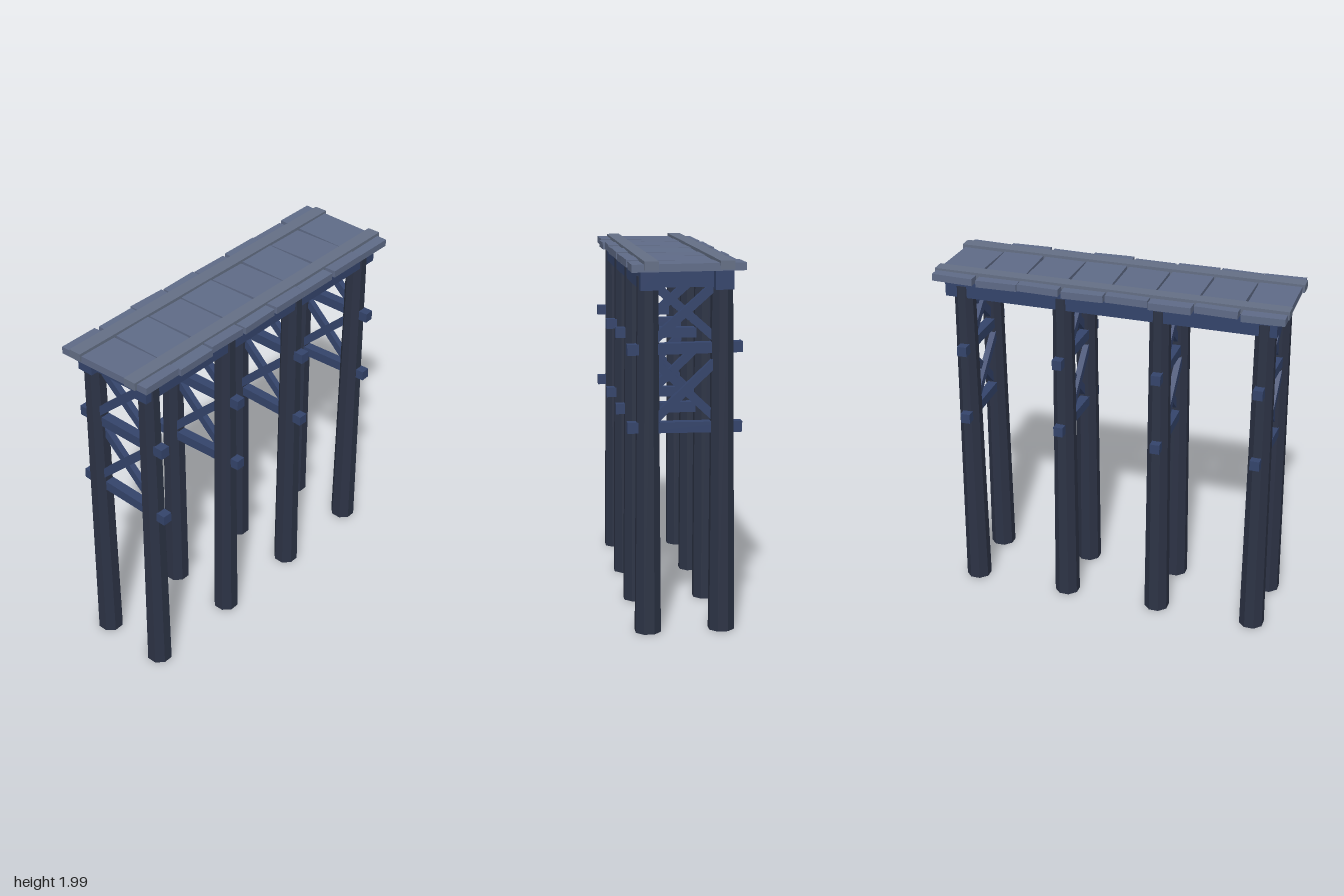
import * as THREE from 'three';

const mat = (color) => new THREE.MeshStandardMaterial({ color, flatShading: true });

export function createModel() {
  const group = new THREE.Group();
  const postMat = mat(0x2c3345), beamMat = mat(0x34446b), deckMat = mat(0x5f6b87), railMat = mat(0x646f85);

  const add = (name, geometry, material, x, y, z, rx = 0, ry = 0, rz = 0) => {
    const mesh = new THREE.Mesh(geometry, material);
    mesh.name = name;
    mesh.position.set(x, y, z);
    mesh.rotation.set(rx, ry, rz);
    group.add(mesh);
    return mesh;
  };
  const box = (name, m, w, h, d, ...place) => add(name, new THREE.BoxGeometry(w, h, d), m, ...place);

  // Tapered eight-sided post, leaning slightly between its foot and its head
  const post = (bx, bz, tx, tz) => {
    const h = 1.9;
    const g = new THREE.CylinderGeometry(0.058, 0.073, h, 8).rotateY(Math.PI / 8);
    const p = g.attributes.position;
    for (let i = 0; i < p.count; i++) {
      const t = p.getY(i) / h + 0.5;
      p.setX(i, p.getX(i) + bx + (tx - bx) * t);
      p.setZ(i, p.getZ(i) + bz + (tz - bz) * t);
    }
    g.computeVertexNormals();
    add('post', g, postMat, 0, h / 2, 0);
  };

  // Diagonal brace between two points in the plane of a bent
  const brace = (x1, y1, x2, y2, z) => {
    const dx = x2 - x1, dy = y2 - y1;
    box('crossBrace', beamMat, Math.hypot(dx, dy), 0.045, 0.035,
      (x1 + x2) / 2, (y1 + y2) / 2, z, 0, 0, Math.atan2(dy, dx));
  };

  // Four bents: two posts, two ties, two crossed pairs and a header each
  const bents = [
    { foot: 0.872, head: 0.872, tie: [1.085, 1.52] },
    { foot: 0.295, head: 0.292, tie: [1.1, 1.515] },
    { foot: -0.265, head: -0.262, tie: [1.108, 1.53] },
    { foot: -0.84, head: -0.843, tie: [1.11, 1.525] },
  ];
  bents.forEach(({ foot, head, tie }, i) => {
    post(-0.205, foot, -0.197, head);
    post(0.192, foot, 0.19, head);
    const z = (foot + head) / 2;
    tie.forEach((y, k) => box('tieBeam', beamMat, 0.605, 0.057, 0.055,
      -0.003, y, z, 0, (i % 2 ? 0.02 : -0.02), (k + i) % 2 ? 0.012 : -0.012));
    for (const [low, high] of [[1.14, 1.47], [1.56, 1.87]]) {
      brace(-0.18, low, 0.17, high, z + 0.012);
      brace(-0.18, high, 0.17, low, z - 0.012);
    }
    box('header', beamMat, 0.34, 0.085, 0.07, -0.005, 1.885, z);
  });

  // Long stringers under the deck and curb rails on top of it
  for (const x of [-0.197, 0.19]) {
    box('stringer', beamMat, 0.095, 0.1, 1.88, x, 1.884, 0);
    box('rail', railMat, 0.075, 0.045, 2, x - 0.003, 1.965, 0);
  }

  // Eight uneven deck planks: left end, right end, tilt, turn
  const planks = [
    [-0.3, 0.285, 0.012, -0.015], [-0.295, 0.29, -0.01, 0.012],
    [-0.295, 0.287, 0.008, -0.01], [-0.295, 0.292, -0.014, 0.008],
    [-0.295, 0.287, 0.01, 0.012], [-0.307, 0.285, -0.008, -0.012],
    [-0.29, 0.295, 0.012, -0.006], [-0.303, 0.285, -0.01, 0.015],
  ];
  planks.forEach(([a, b, tilt, turn], i) => {
    box('deckPlank', deckMat, b - a, 0.04, 0.236, (a + b) / 2, 1.952, -0.87 + i * 0.2485, tilt, turn, -tilt);
  });

  return group;
}
